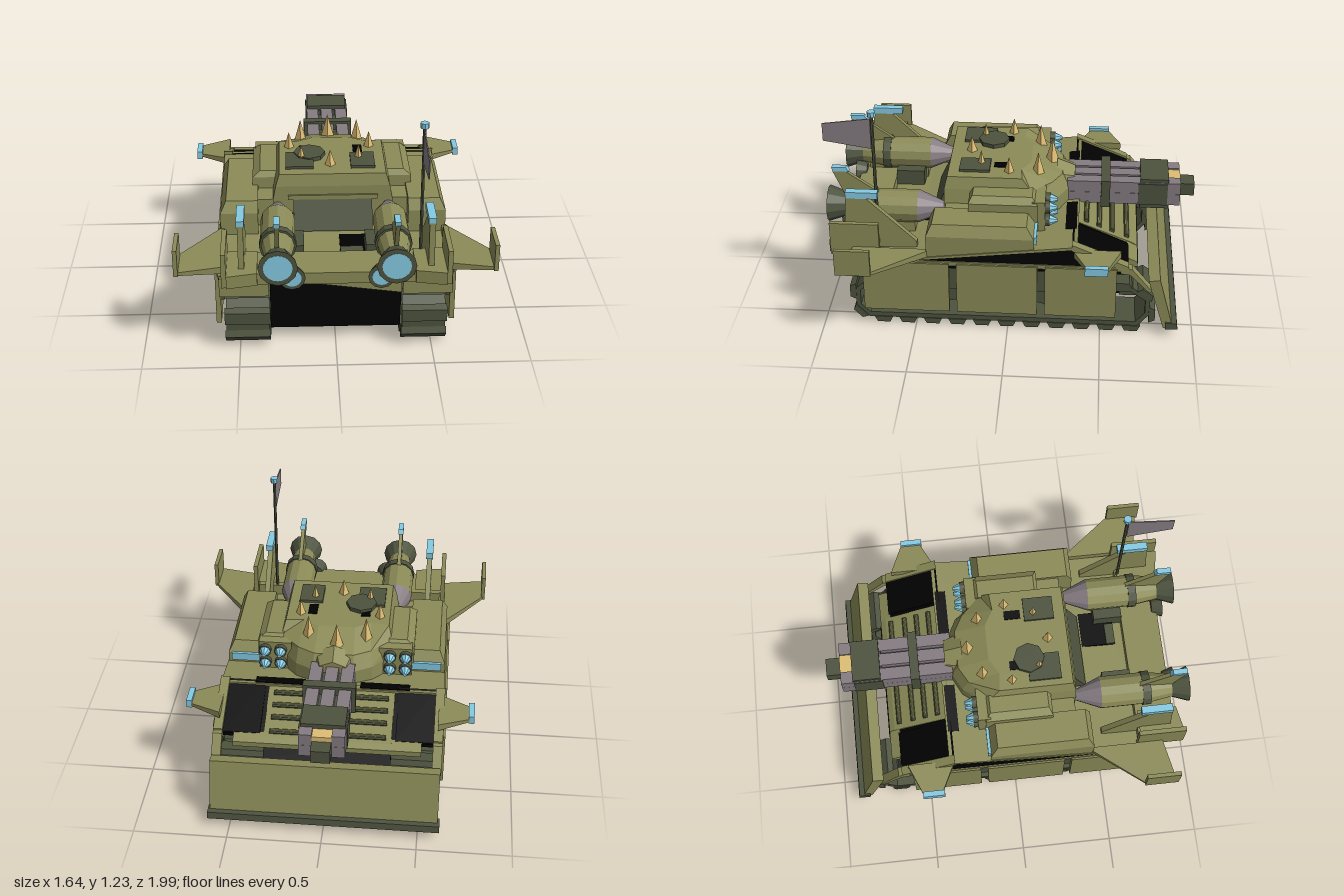
import * as THREE from 'three';

const mat = (name, color) => Object.assign(new THREE.MeshStandardMaterial({ color }), { name });

export function createModel() {
  const olive = mat('olive armour', 0x8b8b58);
  const dark = mat('dark metal', 0x4e533f);
  const grey = mat('gun grey', 0x857c81);
  const cyan = mat('cyan glow', 0x86cbe4);
  const gold = mat('gold', 0xdebe74);
  const black = mat('black', 0x010101);
  const flagCloth = mat('flag cloth', 0x857c81);
  flagCloth.side = THREE.DoubleSide;
  const model = new THREE.Group();
  model.name = 'armouredTank';

  // ---- helpers ----
  const add = (name, material, geo) => {
    const g = geo.index ? geo.toNonIndexed() : geo;
    g.computeVertexNormals();
    const m = new THREE.Mesh(g, material);
    m.name = name;
    model.add(m);
  };
  const box = (name, m, x0, x1, y0, y1, z0, z1) => add(name, m,
    new THREE.BoxGeometry(Math.abs(x1 - x0), y1 - y0, Math.abs(z1 - z0))
      .translate((x0 + x1) / 2, (y0 + y1) / 2, (z0 + z1) / 2));
  const toShape = pts => new THREE.Shape(pts.map(p => new THREE.Vector2(...p)));
  // side profile of [z, y] points swept across x
  const prism = (name, m, pts, x0, x1, hole) => {
    const s = toShape(pts);
    if (hole) s.holes.push(toShape(hole));
    const g = new THREE.ExtrudeGeometry(s, { depth: Math.abs(x1 - x0), bevelEnabled: false });
    add(name, m, g.rotateY(-Math.PI / 2).translate(Math.max(x0, x1), 0, 0));
  };
  // stacked rings of [x, z] points; a ring's height is a number or a function of z
  const loft = (name, m, rings) => {
    const P = rings.map(([y, pts]) => {
      const area = pts.reduce((a, p, i) => {
        const q = pts[(i + 1) % pts.length];
        return a + p[0] * q[1] - q[0] * p[1];
      }, 0);
      return (area > 0 ? [...pts].reverse() : pts).map(p => [p[0], typeof y === 'number' ? y : y(p[1]), p[1]]);
    });
    const v = [], n = P[0].length, top = P[P.length - 1];
    const tri = (...c) => c.forEach(p => v.push(...p));
    for (let k = 0; k + 1 < P.length; k++) for (let i = 0; i < n; i++) {
      const j = (i + 1) % n, a = P[k], b = P[k + 1];
      tri(a[i], a[j], b[j]); tri(a[i], b[j], b[i]);
    }
    for (let i = 1; i + 1 < n; i++) {
      tri(top[0], top[i], top[i + 1]);
      tri(P[0][0], P[0][i + 1], P[0][i]);
    }
    const g = new THREE.BufferGeometry();
    g.setAttribute('position', new THREE.Float32BufferAttribute(v, 3));
    add(name, m, g);
  };
  const rect = (x0, x1, z0, z1) => [[x0, z0], [x1, z0], [x1, z1], [x0, z1]];
  // cylinder or cone along z
  const tubeZ = (name, m, r0, r1, z0, z1, x, y, n = 12) => add(name, m,
    new THREE.CylinderGeometry(r1, r0, z1 - z0, n).rotateX(Math.PI / 2).translate(x, y, (z0 + z1) / 2));

  // ---- hull ----
  const deckY = z => .445 + (.5 - z) * .12;
  prism('lowerHull', black, [[.75, .07], [.8, .4], [-.6, .42], [-.7, .3], [-.68, .08]], -.34, .34);
  prism('upperHull', black, [[.78, .42], [.5, .432], [-.37, .535], [-.63, .42], [-.63, .39], [.78, .39]], -.605, .605);
  prism('deckPlate', olive, [[.8, .425], [.5, .445], [-.37, .55], [-.37, .535], [.5, .43], [.8, .41]], -.605, .605);
  prism('glacisPlate', olive, [[-.34, .55], [-.66, .42], [-.69, .4], [-.69, .37], [-.34, .5]], -.34, .34);
  prism('frontLip', olive, [[-.63, .43], [-.69, .4], [-.69, .37], [-.63, .38]], -.5, .5);
  for (const z of [-.41, -.48, -.55, -.63]) {
    const y = .55 + (z + .34) * .406;
    const rod = (name, m, r, len, h) => add(name, m, new THREE.CylinderGeometry(r, r, len, 8)
      .rotateZ(Math.PI / 2).translate(0, y + h, z));
    rod('louverSlot', dark, .014, .62, .003);
    rod('louverBar', olive, .008, .6, .013);
  }
  loft('rearTriangle', olive, [[.31, rect(.335, .34, .8, .806)], [.405, rect(-.34, .34, .8, .806)]]);
  box('rearLedge', dark, -.32, .32, .405, .435, .7, .82);
  box('rearBeam', olive, -.55, .55, .43, .495, .69, .9);
  box('engineWell', black, .03, .23, .44, .455, .45, .64);
  box('engineWellCover', dark, .03, .15, .455, .465, .59, .64);

  // ---- dozer blade ----
  prism('blade', olive, [[-.75, .35], [-.81, .36], [-.888, .07], [-.84, .05]], -.605, .605);
  prism('bladeEdge', dark, [[-.85, .09], [-.912, .088], [-.918, .05], [-.85, .05]], -.615, .615);

  // ---- track loop outline, as [z, y] ----
  const outer = [[.76, .03], [.825, .1], [.825, .21], [.75, .28], [-.67, .28], [-.765, .21], [-.765, .11], [-.7, .03]];
  const inner = [[.75, .06], [.8, .11], [.8, .2], [.74, .255], [-.66, .255], [-.74, .2], [-.74, .12], [-.69, .06]];
  const path = new THREE.CurvePath();
  outer.forEach((p, i) => path.add(new THREE.LineCurve(
    new THREE.Vector2(...p), new THREE.Vector2(...outer[(i + 1) % outer.length]))));
  const cleats = 26;

  for (const s of [1, -1]) {
    // ---- running gear ----
    prism('trackBand', dark, outer, s * .345, s * .57, inner);
    for (let i = 0; i < cleats; i++) {
      const p = path.getPointAt((i + .4) / cleats), t = path.getTangentAt((i + .4) / cleats);
      const at = (u, w) => [p.x + t.x * u + t.y * w, p.y + t.y * u - t.x * w];
      prism('trackCleat', dark, [at(-.05, -.004), at(.05, -.004), at(.034, .03), at(-.034, .03)], s * .34, s * .575);
    }
    for (let i = 0; i < 5; i++) add('roadWheel', dark, new THREE.CylinderGeometry(.07, .07, .12, 12)
      .rotateZ(Math.PI / 2).translate(s * .46, .19, .56 - i * .25));
    box('bladeArm', dark, s * .42, s * .48, .17, .21, -.82, -.6);
    for (const [z0, z1] of [[.31, .77], [-.16, .27], [-.58, -.2]])
      box('sideSkirt', olive, s * .595, s * .622, .12, .425, z0, z1);
    box('skirtBacking', dark, s * .575, s * .595, .25, .41, -.56, .75);
    box('skirtRail', olive, s * .57, s * .612, .41, .435, -.6, .78);
    prism('rearFender', olive, [[.82, .31], [.82, .42], [.55, .42], [.55, .31]], s * .345, s * .6);

    // ---- glacis frames ----
    const slope = (a, b) => [[-.34, .56 + b], [-.64, .435 + b], [-.64, .435 + a], [-.34, .56 + a]];
    prism('glacisRim', olive, slope(-.03, .005), s * .56, s * .61);
    prism('glacisVent', black, slope(-.02, -.008), s * .36, s * .56);
    prism('deckGap', black, [[-.3, .545], [-.36, .553], [-.36, .54], [-.3, .535]], s * .15, s * .42);
    prism('frontGuard', olive, [[-.6, .44], [-.66, .425], [-.77, .29], [-.755, .28], [-.65, .39], [-.6, .4]], s * .56, s * .61);

    // ---- side wings ----
    const wing = (name, y0, y1, tipY, a, b, c, d, x) => {
      const pts = [[s * .58, y0, a], [s * .58, y0, b], [s * x, tipY, d], [s * x, tipY, c]];
      const g = new THREE.BoxGeometry(1, 1, 1), pos = g.attributes.position;
      for (let i = 0; i < pos.count; i++) {
        const out = pos.getX(i) * s > 0, back = pos.getZ(i) > 0, up = pos.getY(i) > 0;
        const p = pts[out ? (back ? 2 : 3) : (back ? 1 : 0)];
        pos.setXYZ(i, p[0], p[1] + (up ? (out ? .018 : y1 - y0) : 0), p[2]);
      }
      add(name, olive, g);
    };
    wing('frontWing', .48, .52, .495, -.6, -.34, -.53, -.42, .745);
    box('frontWingLamp', cyan, s * .74, s * .77, .485, .53, -.53, -.41);
    wing('rearWing', .45, .49, .47, .4, .82, .69, .865, .81);
    box('winglet', olive, s * .8, s * .822, .47, .62, .69, .875);

    // ---- tail fins ----
    box('tailPanel', olive, s * .555, s * .58, .44, .63, .68, .94);
    loft('tailCorner', olive, [[.44, [[s * .4, .85], [s * .555, .85], [s * .555, .95], [s * .4, .92]]],
      [.51, [[s * .4, .7], [s * .555, .7], [s * .555, .95], [s * .4, .92]]]]);
    prism('tailFin', olive, [[.86, .745], [.76, .745], [.49, .48], [.49, .44], [.88, .44]], s * .465, s * .495);
    box('tailFinLamp', cyan, s * .46, s * .5, .738, .775, .69, .86);

    // ---- jet engines ----
    const ex = s * .295, ey = .58;
    tubeZ('engineNose', grey, .03, .09, .36, .5, ex, ey);
    tubeZ('engineBody', olive, .09, .09, .5, .73, ex, ey);
    tubeZ('engineRing', dark, .096, .096, .73, .775, ex, ey);
    tubeZ('engineTail', olive, .085, .065, .775, .9, ex, ey);
    tubeZ('engineNozzle', dark, .06, .1, .88, .99, ex, ey);
    tubeZ('engineGlow', cyan, .073, .073, .984, .9915, ex, ey, 20);
    box('enginePylon', olive, s * .25, s * .34, .44, .53, .52, .86);
    prism('engineFin', olive, [[.96, .79], [.89, .79], [.62, .6], [.88, .6]], s * .287, s * .309);
    prism('engineFinTip', cyan, [[.963, .815], [.885, .815], [.87, .79], [.958, .79]], s * .283, s * .313);
    box('smallEngine', dark, s * .16, s * .25, .44, .53, .53, .69);
    tubeZ('smallNozzle', dark, .045, .068, .87, .93, s * .225, .485);
    tubeZ('smallNozzleGlow', cyan, .048, .048, .926, .933, s * .225, .485, 16);

    // ---- turret side armour ----
    loft('sidePod', olive, [[deckY, rect(s * .4, s * .6, -.14, .43)], [.58, rect(s * .4, s * .6, -.14, .43)],
      [.64, rect(s * .4, s * .57, -.1, .4)]]);
    box('podLamp', cyan, s * .42, s * .58, .54, .585, -.153, -.137);
    loft('upperPod', olive, [[.55, rect(s * .29, s * .43, -.15, .22)], [.685, rect(s * .29, s * .43, -.15, .22)],
      [.715, rect(s * .29, s * .39, -.12, .2)]]);
    box('lampBracket', olive, s * .24, s * .42, .52, .7, -.19, -.12);
    for (const x of [.3, .385]) for (const y of [.575, .655]) {
      tubeZ('lampRim', dark, .034, .034, -.215, -.185, s * x, y);
      tubeZ('lampCone', cyan, .01, .03, -.255, -.215, s * x, y, 8);
    }
  }

  // ---- turret ----
  const ring = (w, back, side, front) => [[-w, back], [w, back], [w, side], [w * .65, front + .05],
    [w * .35, front], [-w * .35, front], [-w * .65, front + .05], [-w, side]];
  loft('turret', olive, [[.44, ring(.32, .36, -.12, -.31)], [.62, ring(.32, .36, -.12, -.31)],
    [.7, ring(.305, .36, -.11, -.27)], [.765, ring(.285, .345, -.06, -.1)]]);
  box('turretCollar', olive, -.43, .43, .44, .62, -.12, .35);
  prism('turretRearPanel', dark, [[.35, .63], [.365, .63], [.44, .47], [.35, .47]], -.21, .21);
  box('turretRearLip', olive, -.24, .24, .625, .65, .34, .37);
  box('hatchPlate', dark, -.25, -.1, .76, .78, .11, .285);
  add('hatchDisc', dark, new THREE.CylinderGeometry(.085, .085, .025, 8).translate(-.12, .775, .12));
  box('hatchPlate', dark, .1, .23, .76, .78, .12, .285);
  for (const x of [-.15, .145]) box('hatchSlot', black, x - .025, x + .025, .76, .77, .01, .1);

  // ---- spikes, as [x, z, base height, radius] ----
  for (const [x, z, y, r] of [[-.23, .015, .765, .027], [.21, .015, .765, .027], [-.01, .235, .765, .029],
    [-.165, .17, .77, .022], [.145, .17, .77, .022], [-.01, -.21, .71, .04], [-.165, -.14, .72, .036], [.15, -.14, .72, .036]])
    add('spike', gold, new THREE.ConeGeometry(r, .855 - y, 4).translate(x, (y + .855) / 2, z));

  // ---- rotary gun ----
  const gy = .597;
  tubeZ('gunMount', olive, .1, .14, -.34, -.24, 0, gy, 8);
  for (const x of [-.085, 0, .085]) for (const up of [0, 1])
    box('gunBarrel', grey, x - .034, x + .034, gy - .068 + up * .069, gy + up * .068, up && !x ? -.84 : -.92, -.3);
  box('gunCore', dark, -.08, .08, gy - .03, gy + .03, -.86, -.3);
  box('gunBand', dark, -.14, .14, .515, .68, -.535, -.485);
  box('gunSleeve', dark, -.115, .115, .505, .685, -.855, -.7);
  box('gunSleeveBand', dark, -.125, .125, .53, .66, -.85, -.69);
  box('gunInsert', gold, -.05, .05, gy + .002, gy + .06, -.922, -.85);
  box('gunMuzzle', dark, -.05, .05, .555, .628, -1, -.92);

  // ---- antenna and flag ----
  add('antenna', dark, new THREE.CylinderGeometry(.009, .009, .76, 6).translate(.44, .82, .705));
  add('antennaCap', cyan, new THREE.CylinderGeometry(.022, .022, .028, 8).translate(.44, 1.214, .705));
  prism('flag', flagCloth, [[.715, 1.185], [.965, 1.15], [.965, 1.05], [.715, 1.01]], .437, .443);

  return model;
}
